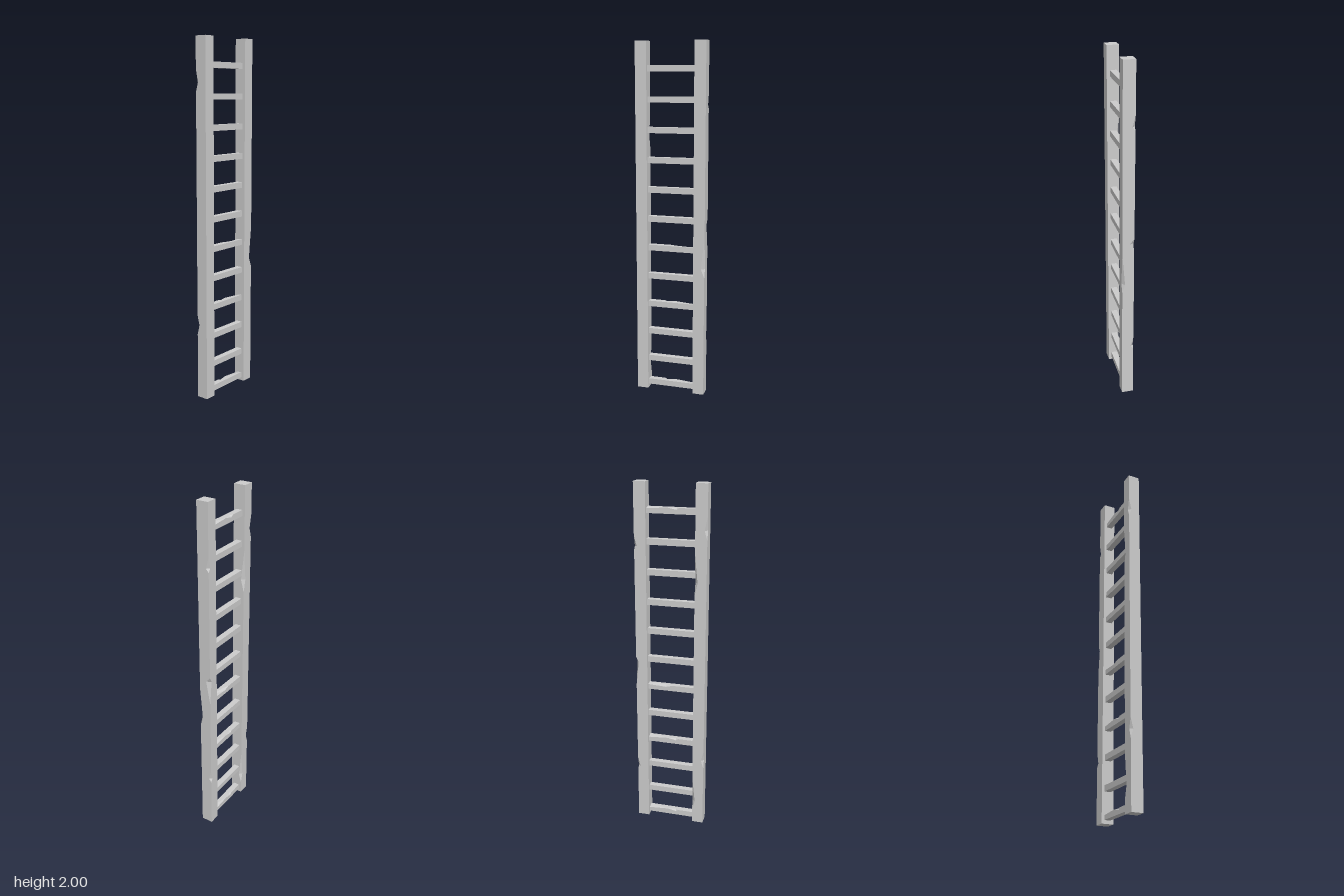
import * as THREE from 'three';

const material = new THREE.MeshStandardMaterial({ color: 0xcccccc, flatShading: true });

// Corners seen from above, counter-clockwise
const SIGNS = [[1, 1], [1, -1], [-1, -1], [-1, 1]];
const FRONT_RIGHT = 0, BACK_RIGHT = 1, BACK_LEFT = 2;

// Chip depths [x, z] at height y, from keys [y, depthX, depthZ]
function chipAt(keys, y) {
  for (let i = 0; i + 1 < keys.length; i++) {
    const [a, b] = [keys[i], keys[i + 1]];
    if (y >= a[0] && y <= b[0]) {
      const t = (y - a[0]) / (b[0] - a[0]);
      return [a[1] + (b[1] - a[1]) * t, a[2] + (b[2] - a[2]) * t];
    }
  }
  return [0, 0];
}

// Square beam along y whose four long edges can be chipped
function chippedBeam(w, d, y0, y1, chips) {
  const levels = new Set([y0, y1]);
  Object.values(chips).flat().forEach((k) => levels.add(k[0]));
  const rings = [...levels].sort((a, b) => a - b).map((y) => SIGNS.flatMap(([sx, sz], i) => {
    const [dx, dz] = chipAt(chips[i] || [], y);
    const cutX = new THREE.Vector3(sx * (w / 2 - dx), y, sz * d / 2);
    const cutZ = new THREE.Vector3(sx * w / 2, y, sz * (d / 2 - dz));
    return i % 2 ? [cutZ, cutX] : [cutX, cutZ];
  }));
  const positions = [];
  const tri = (a, b, c) => {
    if (new THREE.Triangle(a, b, c).getArea() < 1e-9) return;
    [a, b, c].forEach((p) => positions.push(p.x, p.y, p.z));
  };
  for (let r = 0; r + 1 < rings.length; r++) {
    for (let i = 0; i < 8; i++) {
      const j = (i + 1) % 8;
      tri(rings[r][i], rings[r][j], rings[r + 1][j]);
      tri(rings[r][i], rings[r + 1][j], rings[r + 1][i]);
    }
  }
  const bottom = rings[0], top = rings[rings.length - 1];
  for (let i = 1; i < 7; i++) {
    tri(top[0], top[i], top[i + 1]);
    tri(bottom[0], bottom[i + 1], bottom[i]);
  }
  const geometry = new THREE.BufferGeometry();
  geometry.setAttribute('position', new THREE.Float32BufferAttribute(positions, 3));
  geometry.computeVertexNormals();
  return geometry;
}

export function createModel() {
  const group = new THREE.Group();
  const add = (name, geometry, x, y, z) => {
    const mesh = new THREE.Mesh(geometry, material);
    mesh.name = name;
    mesh.position.set(x, y, z);
    group.add(mesh);
  };

  // Side rails with worn edges
  add('leftRail', chippedBeam(0.065, 0.067, 0, 2, {
    [FRONT_RIGHT]: [[0.7, 0, 0], [0.75, 0.02, 0.016], [0.94, 0, 0]],
    [BACK_RIGHT]: [
      [0.31, 0, 0], [0.33, 0.015, 0.016], [0.39, 0, 0],
      [0.86, 0, 0], [1.0, 0.015, 0.026], [1.03, 0, 0],
      [1.64, 0, 0], [1.66, 0.015, 0.016], [1.72, 0, 0],
    ],
  }), 0.1675, 0, -0.001);
  add('rightRail', chippedBeam(0.065, 0.067, 0, 2, {
    [BACK_RIGHT]: [
      [0.08, 0, 0], [0.14, 0.016, 0.016], [0.3, 0, 0],
      [1.41, 0, 0], [1.48, 0.016, 0.018], [1.64, 0, 0],
    ],
    [BACK_LEFT]: [
      [0.37, 0, 0], [0.42, 0.015, 0.015], [0.48, 0, 0],
      [1.71, 0, 0], [1.76, 0.015, 0.015], [1.83, 0, 0],
    ],
  }), -0.1675, 0, -0.001);

  // Rungs; some have a chipped upper back edge
  const splitChip = [[-0.045, 0, 0], [-0.03, 0.01, 0.012], [0.02, 0, 0], [0.135, 0.008, 0.034]];
  const wideChip = [[-0.01, 0, 0], [0.03, 0.01, 0.014], [0.135, 0.004, 0.03]];
  const rungChips = { 0: splitChip, 3: splitChip, 5: wideChip, 11: splitChip };
  for (let i = 0; i < 12; i++) {
    const chips = rungChips[i] ? { [BACK_LEFT]: rungChips[i] } : {};
    const geometry = chippedBeam(0.033, 0.035, -0.135, 0.135, chips).rotateZ(-Math.PI / 2);
    add(`rung${i + 1}`, geometry, 0, i === 0 ? 0.036 : 0.018 + i * 0.1668, -0.002);
  }
  return group;
}
